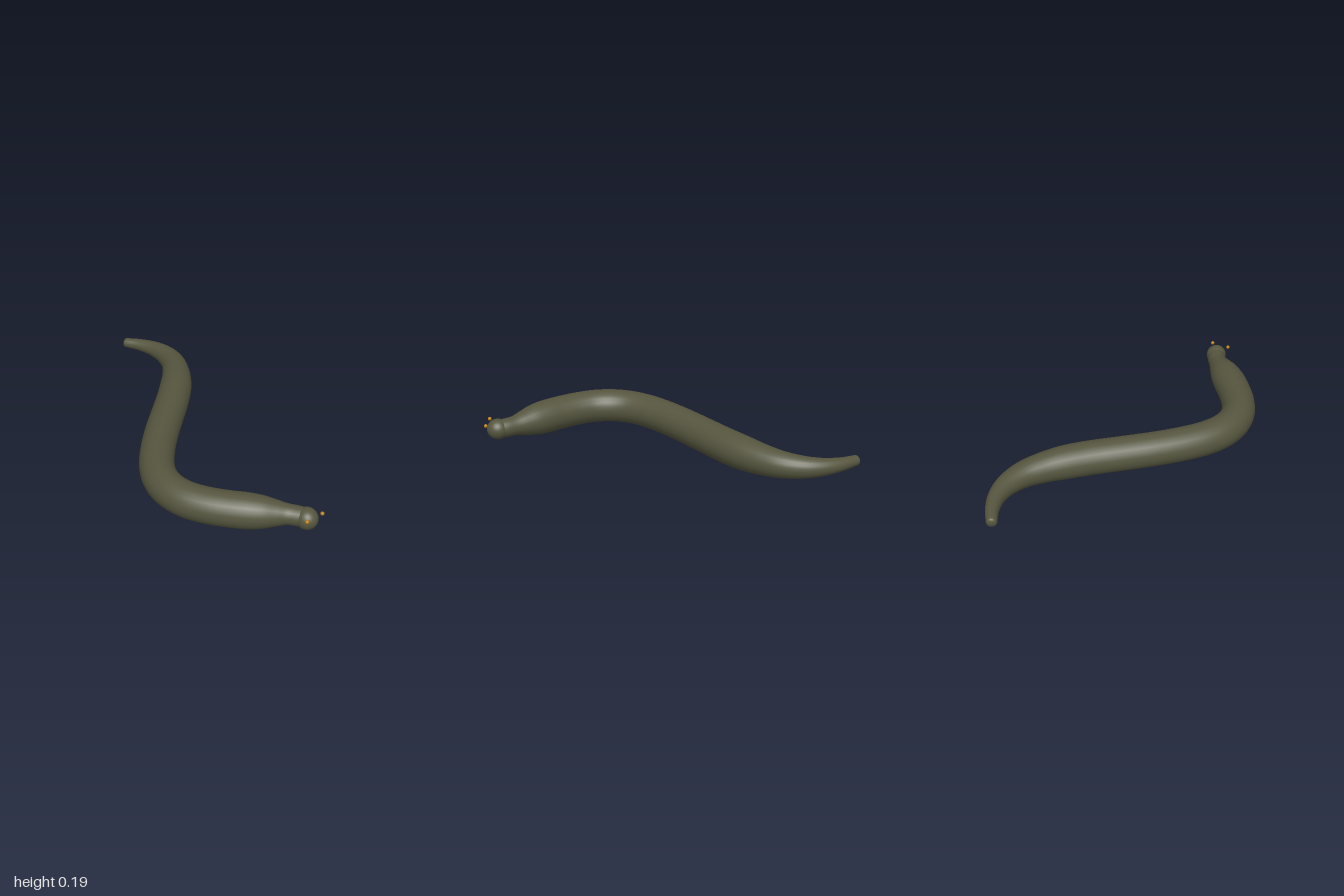
import * as THREE from 'three';

const MID_Y = 0.0935;
const SIDES = 24;
const STEPS = 120;

// Centre line and girth from tail to neck: x, radius, z
const SPINE = [
  [-0.98, 0.028, -0.312], [-0.9, 0.036, -0.365], [-0.81, 0.046, -0.402], [-0.71, 0.058, -0.412],
  [-0.6, 0.07, -0.388], [-0.5, 0.081, -0.331], [-0.4, 0.091, -0.25], [-0.3, 0.093, -0.15],
  [-0.185, 0.093, -0.02], [-0.07, 0.093, 0.108], [0.05, 0.093, 0.226], [0.15, 0.093, 0.305],
  [0.25, 0.093, 0.355], [0.35, 0.093, 0.371], [0.45, 0.093, 0.355], [0.55, 0.093, 0.305],
  [0.64, 0.093, 0.238], [0.71, 0.092, 0.175], [0.765, 0.084, 0.122], [0.815, 0.067, 0.073],
  [0.855, 0.054, 0.036], [0.895, 0.052, 0.006], [0.935, 0.05, -0.016],
];

// Sweeps a circle of changing radius along the level centre line
function sweepBody() {
  const curve = new THREE.CatmullRomCurve3(SPINE.map(([x, r, z]) => new THREE.Vector3(x, r, z)));
  const rings = [];
  for (let i = 0; i <= STEPS; i++) {
    const p = curve.getPoint(i / STEPS);
    const t = curve.getTangent(i / STEPS).setY(0).normalize();
    // rounded tail tip
    if (i === 0) {
      for (const [scale, back] of [[0, 0.012], [0.55, 0.01], [0.85, 0.006]]) {
        rings.push({ c: p.clone().addScaledVector(t, -back), t, r: p.y * scale });
      }
    }
    rings.push({ c: p, t, r: p.y });
  }
  const positions = [];
  const index = [];
  rings.forEach(({ c, t, r }, i) => {
    for (let j = 0; j < SIDES; j++) {
      const a = (j / SIDES) * Math.PI * 2;
      const side = r * Math.cos(a);
      positions.push(c.x - t.z * side, MID_Y + r * Math.sin(a), c.z + t.x * side);
      if (i === rings.length - 1) continue;
      const k = (j + 1) % SIDES;
      const p = i * SIDES + j, q = i * SIDES + k;
      index.push(p, p + SIDES, q + SIDES, p, q + SIDES, q);
    }
  });
  const geometry = new THREE.BufferGeometry();
  geometry.setAttribute('position', new THREE.Float32BufferAttribute(positions, 3));
  geometry.setIndex(index);
  geometry.computeVertexNormals();
  return geometry;
}

export function createModel() {
  const skin = new THREE.MeshStandardMaterial({ color: 0x55553f });
  skin.name = 'olive skin';
  const amber = new THREE.MeshStandardMaterial({ color: 0xb87a14 });
  amber.name = 'amber eye';

  const model = new THREE.Group();
  model.name = 'snake';
  const add = (name, geometry, material, x, y, z) => {
    const mesh = new THREE.Mesh(geometry, material);
    mesh.name = name;
    mesh.position.set(x, y, z);
    model.add(mesh);
    return mesh;
  };

  add('body', sweepBody(), skin, 0, 0, 0);

  // Head, slightly longer than wide
  const head = add('head', new THREE.SphereGeometry(0.057, 28, 20), skin, 0.935, MID_Y, -0.015);
  head.scale.x = 1.04;

  // Small eyes standing off the upper front corners of the head
  const eye = new THREE.SphereGeometry(0.0105, 14, 10);
  add('leftEye', eye, amber, 0.988, 0.131, -0.066);
  add('rightEye', eye, amber, 0.988, 0.131, 0.036);
  return model;
}
